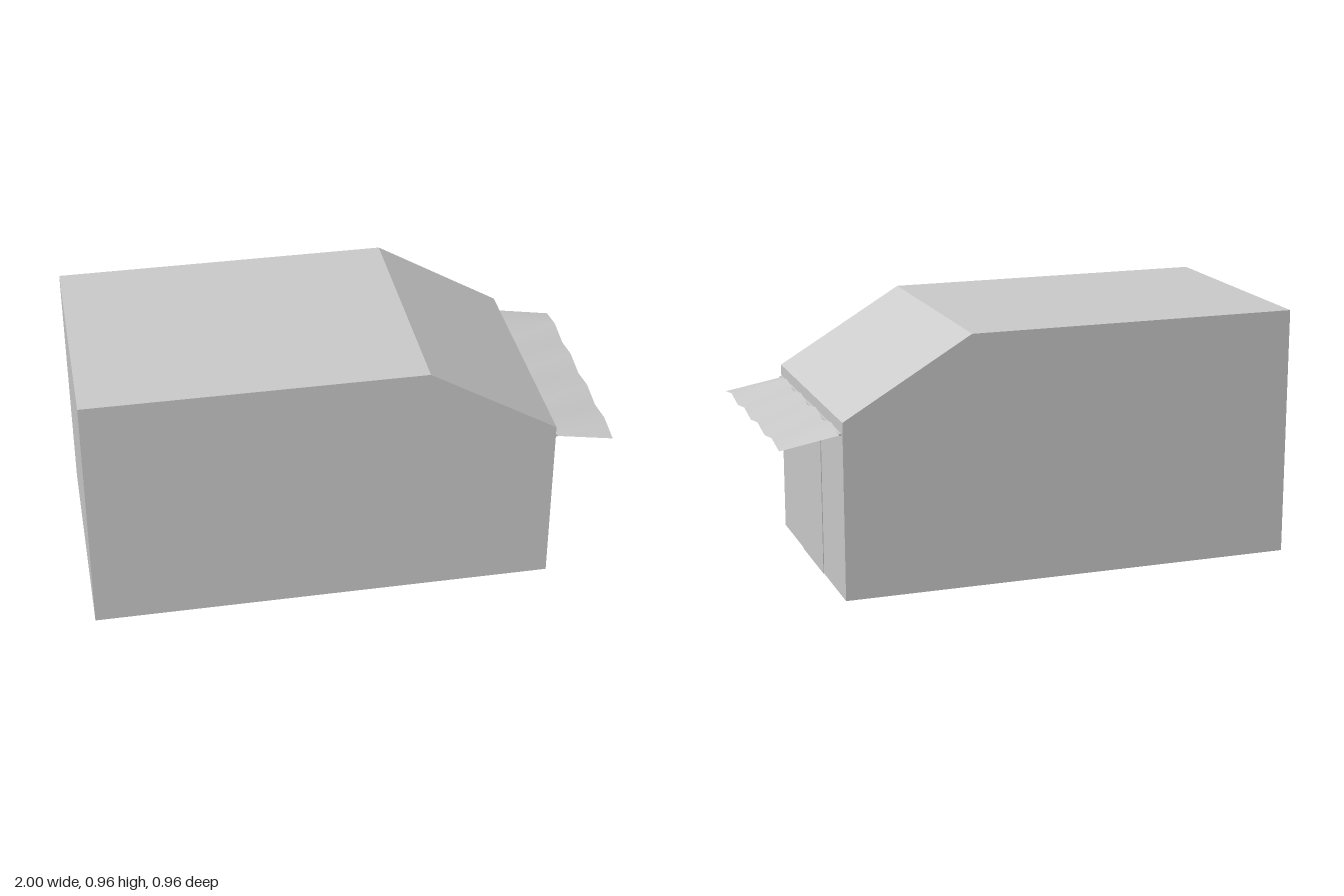
import * as THREE from 'three';

const WALL_X = 0.77, HALF_DEPTH = 0.48;

function createMaterial() {
  return new THREE.MeshStandardMaterial({ color: 0xcccccc, side: THREE.DoubleSide });
}

function addMesh(group, name, geometry) {
  const mesh = new THREE.Mesh(geometry, createMaterial());
  mesh.name = name;
  group.add(mesh);
  return mesh;
}

export function createModel() {
  const model = new THREE.Group();
  model.name = 'shed';

  // Side outline, from one ground corner over the roof to the other
  const profile = [[WALL_X, 0], [WALL_X, 0.675], [0.28, 0.965], [-1, 0.965], [-1, 0]]
    .map(([x, y]) => new THREE.Vector2(x, y));

  // Gable-shaped long walls
  const wallShape = new THREE.Shape(profile);
  addMesh(model, 'frontWall', new THREE.ShapeGeometry(wallShape)).position.z = HALF_DEPTH;
  const backWall = addMesh(model, 'backWall', new THREE.ShapeGeometry(wallShape).scale(-1, 1, 1));
  backWall.rotation.y = Math.PI;
  backWall.position.z = -HALF_DEPTH;

  // End walls and roof panels span the depth; the floor is left open
  const panelNames = ['doorWall', 'slopedRoof', 'flatRoof', 'endWall'];
  panelNames.forEach((name, i) => {
    const a = profile[i], b = profile[i + 1];
    const panel = new THREE.PlaneGeometry(a.distanceTo(b), HALF_DEPTH * 2);
    const mesh = addMesh(model, name, panel.rotateX(-Math.PI / 2).rotateY(Math.PI));
    mesh.rotation.z = Math.atan2(b.y - a.y, b.x - a.x) + Math.PI;
    mesh.position.set((a.x + b.x) / 2, (a.y + b.y) / 2, 0);
  });

  // Door slab, barely proud of the end wall
  const door = addMesh(model, 'door', new THREE.BoxGeometry(0.004, 0.54, 0.315));
  door.position.set(WALL_X + 0.001, 0.27, 0);

  // Corrugated awning: alternate folds rise and fall, sloping outward
  const awningWidth = 0.934, inner = 0.777, outer = 1, folds = 8;
  const sheet = new THREE.PlaneGeometry(outer - inner, awningWidth, 1, folds);
  sheet.rotateX(-Math.PI / 2).translate((inner + outer) / 2, 0, 0);
  const pos = sheet.attributes.position;
  for (let i = 0; i < pos.count; i++) {
    const fold = Math.round((pos.getZ(i) / awningWidth + 0.5) * folds);
    const slope = (pos.getX(i) - inner) / (outer - inner) * 0.039;
    pos.setY(i, (fold % 2 ? 0.645 : 0.626) - slope);
  }
  sheet.computeVertexNormals();
  addMesh(model, 'awning', sheet);

  // Thin rail carrying the awning
  const rail = addMesh(model, 'awningRail', new THREE.BoxGeometry(0.01, 0.008, awningWidth));
  rail.position.set(WALL_X + 0.005, 0.628, 0);

  return model;
}
